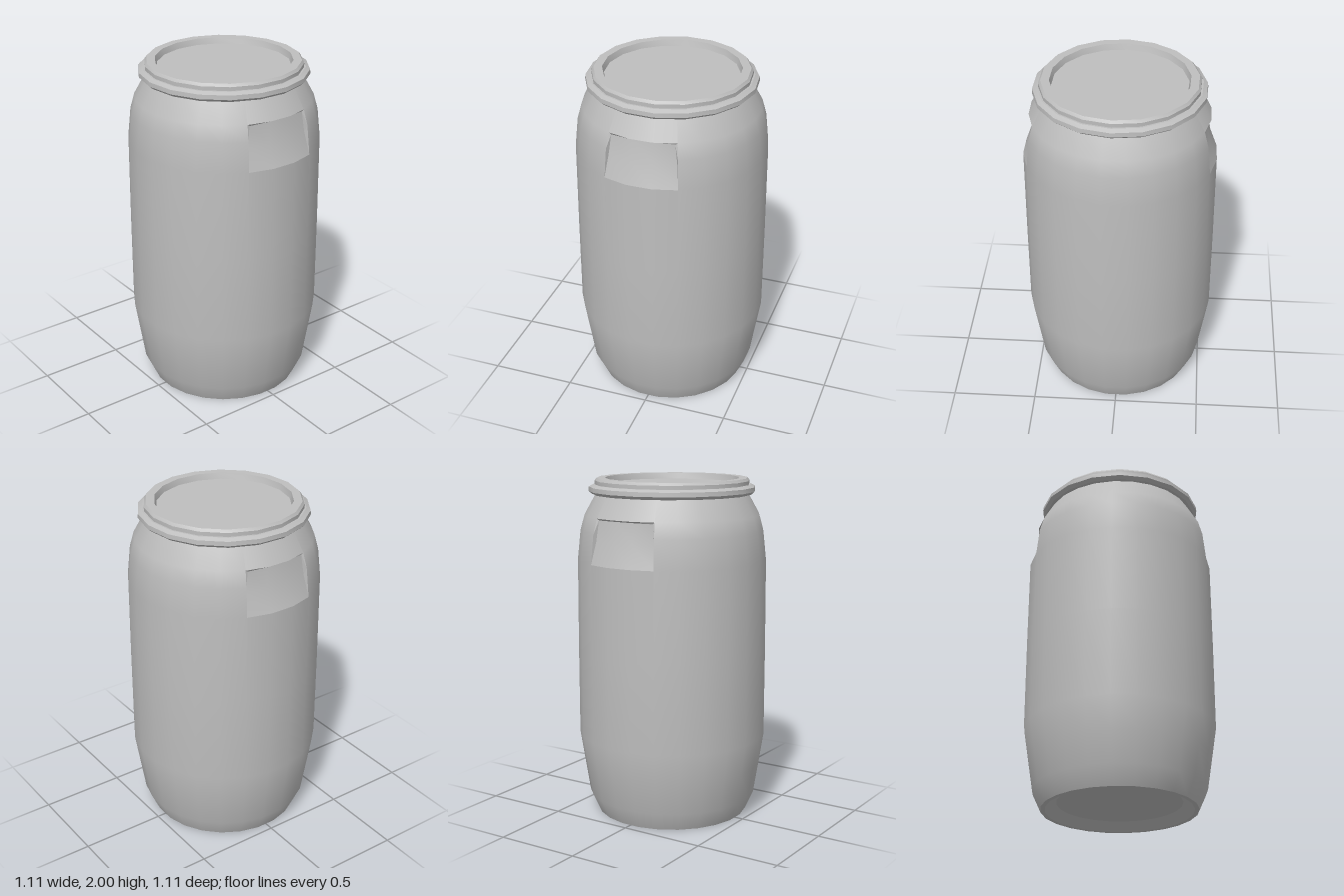
import * as THREE from 'three';
import { toCreasedNormals } from 'three/addons/utils/BufferGeometryUtils.js';

const SIDES = 24;
const STEP = (Math.PI * 2) / SIDES;
const HALF = STEP * 1.5; // half-angle of a grip panel (three sides wide)

const v2 = (list) => list.map(([r, y]) => new THREE.Vector2(r, y));

const LOWER = [[0.45, 0], [0.5, 0.11], [0.53, 0.3], [0.558, 0.48], [0.558, 1], [0.555, 1.53]];
const GRIP_EDGE = [[0.555, 1.53], [0.537, 1.7], [0.512, 1.79]];
const SHOULDER = [[0.512, 1.79], [0.44, 1.92]];

export function createModel() {
  const grey = new THREE.MeshStandardMaterial({ color: 0xbebebe });
  grey.name = 'plasticGrey';
  const greySheet = grey.clone();
  greySheet.side = THREE.DoubleSide;
  greySheet.name = 'plasticGrey';

  const model = new THREE.Group();
  model.name = 'barrel';

  const add = (name, geometry, parent = model, material = grey) => {
    const mesh = new THREE.Mesh(geometry, material);
    mesh.name = name;
    parent.add(mesh);
    return mesh;
  };
  const creasedLathe = (points, sides) =>
    toCreasedNormals(new THREE.LatheGeometry(v2(points), sides, STEP / 2), 0.5);

  // Left and right walls, full height
  const wall = [...LOWER, ...GRIP_EDGE.slice(1), ...SHOULDER.slice(1)];
  for (const [name, start] of [['leftWall', HALF], ['rightWall', Math.PI + HALF]]) {
    add(name, new THREE.LatheGeometry(v2(wall), 9, start, STEP * 9));
  }

  // Front and back panels with the sunken hand grips
  for (const [name, turn] of [['front', 0], ['back', Math.PI]]) {
    const panel = new THREE.Group();
    panel.name = name + 'Panel';
    panel.rotation.y = turn;
    model.add(panel);
    add('lowerWall', new THREE.LatheGeometry(v2(LOWER), 3, -HALF, STEP * 3), panel);
    add('shoulder', new THREE.LatheGeometry(v2(SHOULDER), 3, -HALF, STEP * 3), panel);
    add('gripPlate', gripPlate(), panel, greySheet);
    add('gripLedge', gripLedge(), panel, greySheet);
    add('gripCheeks', gripCheeks(), panel, greySheet);
  }

  // Hollow underside
  add('base', creasedLathe([[0, 0.06], [0.36, 0.045], [0.425, 0], [0.45, 0]], SIDES));

  // Clamp ring around the neck
  add('clampRing', creasedLathe(
    [[0.43, 1.912], [0.468, 1.908], [0.488, 1.925], [0.486, 1.95], [0.462, 1.963], [0.44, 1.963]], 18));

  // Lid with raised rim and sunken centre
  add('lid', creasedLathe(
    [[0.452, 1.955], [0.452, 1.985], [0.44, 2], [0.392, 2], [0.382, 1.965], [0, 1.965]], 18));

  return model;
}

// Point on the barrel wall at an angle from the front
function onWall(r, y, angle) {
  return [r * Math.sin(angle), y, r * Math.cos(angle)];
}

// Top edge of the sunken plate, column 0 to 3
function plateTop(i) {
  const x = 0.182 * (i - 1.5) / 1.5;
  return [x, 1.78, 0.482 - 0.3 * x * x];
}

// Surface through rows of points, each row running left to right, bottom row first
function sheet(rows) {
  const n = rows[0].length;
  const index = [];
  for (let j = 0; j < rows.length - 1; j++) {
    for (let i = 0; i < n - 1; i++) {
      const a = j * n + i;
      index.push(a, a + 1, a + n, a + 1, a + n + 1, a + n);
    }
  }
  const g = new THREE.BufferGeometry();
  g.setAttribute('position', new THREE.Float32BufferAttribute(rows.flat(2), 3));
  g.setIndex(index);
  g.computeVertexNormals();
  return g;
}

const columns = [0, 1, 2, 3];
const angleOf = (i) => -HALF + i * STEP;

function gripPlate() {
  const bottom = columns.map((i) => onWall(0.555, 1.53, angleOf(i)));
  const top = columns.map(plateTop);
  const middle = columns.map((i) => {
    const [a, b] = [bottom[i], top[i]];
    return [(a[0] + b[0]) / 2, 1.66, (a[2] + b[2]) / 2 - 0.012];
  });
  return sheet([bottom, middle, top]);
}

// Overhang above the fingers, facing down
function gripLedge() {
  return sheet([
    columns.map((i) => onWall(0.512, 1.79, angleOf(i))).reverse(),
    columns.map(plateTop).reverse(),
  ].reverse());
}

// Narrow side faces joining plate and wall
function gripCheeks() {
  const points = [];
  for (const side of [-1, 1]) {
    const edge = GRIP_EDGE.map(([r, y]) => onWall(r, y, side * HALF));
    const top = plateTop(side < 0 ? 0 : 3);
    const mid = [(edge[0][0] + top[0]) / 2, 1.66, (edge[0][2] + top[2]) / 2 - 0.012];
    const tris = [[edge[0], mid, edge[1]], [edge[1], mid, top], [edge[1], top, edge[2]]];
    for (const [a, b, c] of tris) points.push(...(side < 0 ? [a, b, c] : [a, c, b]));
  }
  const g = new THREE.BufferGeometry();
  g.setAttribute('position', new THREE.Float32BufferAttribute(points.flat(), 3));
  g.computeVertexNormals();
  return g;
}
